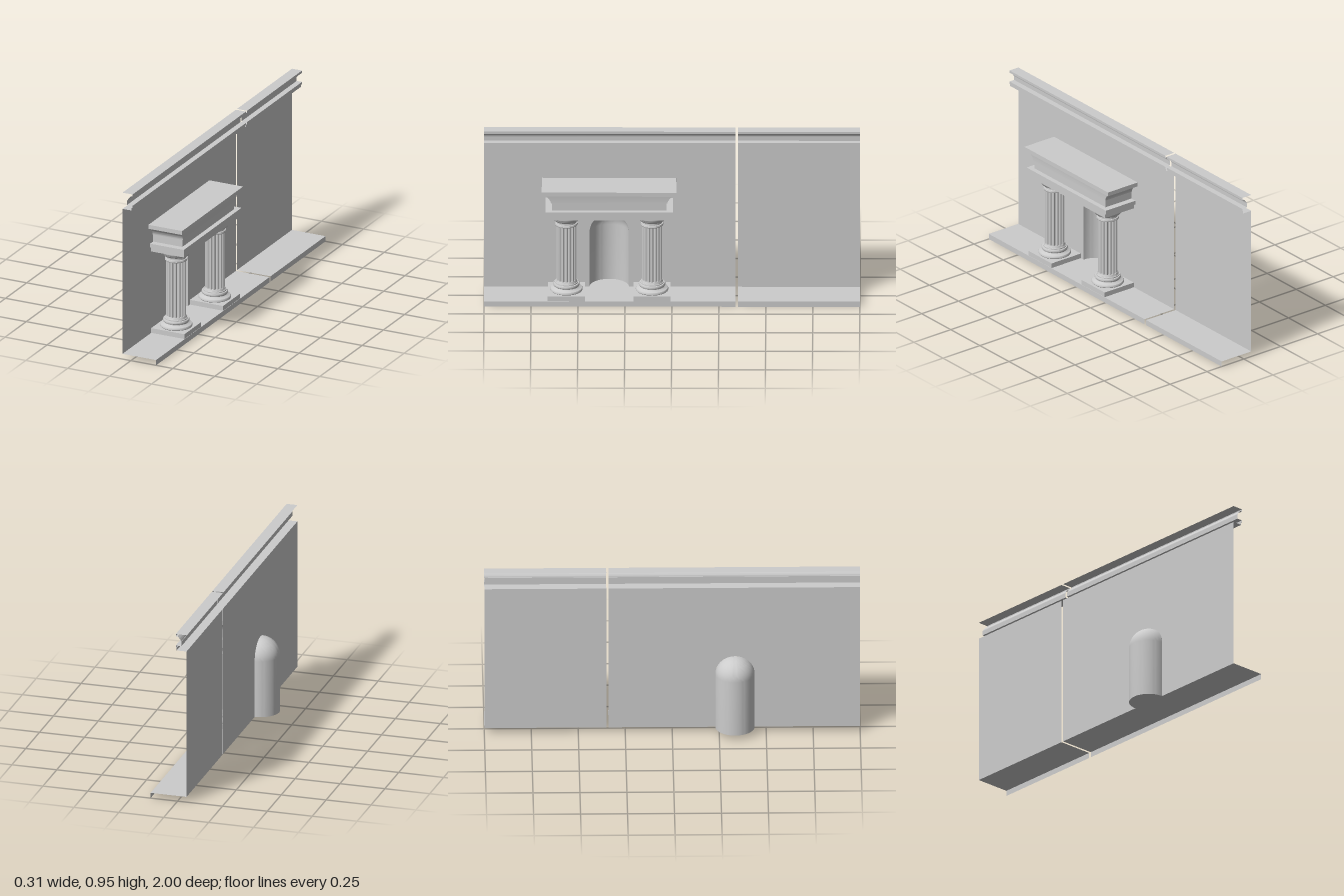
import * as THREE from 'three';
import { toCreasedNormals } from 'three/addons/utils/BufferGeometryUtils.js';

const WALL_X = -0.05, FLOOR_Y = 0.03, NICHE_Z = 0.334, NICHE_R = 0.105, SPRING_Y = 0.346;
const COLUMN_X = 0.049, COLUMN_OFFSET = 0.228;

const solid = new THREE.MeshStandardMaterial({ color: 0xcccccc });
const sheet = new THREE.MeshStandardMaterial({ color: 0xcccccc, side: THREE.DoubleSide });

function mesh(name, geometry, material = solid) {
  const m = new THREE.Mesh(geometry, material);
  m.name = name;
  return m;
}

// Joins rows of [x, y, z] points into a surface with sharp edges
function loft(rows) {
  const pos = [];
  for (let i = 0; i < rows.length - 1; i++) {
    for (let j = 0; j < rows[i].length - 1; j++) {
      const a = rows[i][j], b = rows[i][j + 1], c = rows[i + 1][j + 1], d = rows[i + 1][j];
      pos.push(...a, ...b, ...c, ...a, ...c, ...d);
    }
  }
  const g = new THREE.BufferGeometry();
  g.setAttribute('position', new THREE.Float32BufferAttribute(pos, 3));
  return toCreasedNormals(g, 0.5);
}

// Open sheet: an x, y profile swept along z
const strip = (profile, z0, z1) =>
  loft(profile.map(([x, y]) => [[x, y, z1], [x, y, z0]]));

// Concave quarter curve between two values
const cove = (from, to, t) => from + (to - from) * (1 - Math.cos(t * Math.PI / 2));

function wallPanel(z0, z1, withNiche) {
  const s = new THREE.Shape();
  s.moveTo(z0, FLOOR_Y);
  if (withNiche) {
    s.lineTo(NICHE_Z - NICHE_R, FLOOR_Y);
    s.lineTo(NICHE_Z - NICHE_R, SPRING_Y);
    s.absarc(NICHE_Z, SPRING_Y, NICHE_R, Math.PI, 0, true);
    s.lineTo(NICHE_Z + NICHE_R, FLOOR_Y);
  }
  s.lineTo(z1, FLOOR_Y);
  s.lineTo(z1, 0.86);
  s.lineTo(z0, 0.86);
  s.closePath();
  return new THREE.ShapeGeometry(s, 32).rotateY(-Math.PI / 2).translate(WALL_X, 0, 0);
}

// One length of wall with its floor ledge and cornice
function wallSection(name, z0, z1, withNiche) {
  const g = new THREE.Group();
  g.name = name;
  const cornice = [[WALL_X, 0.86], [0.005, 0.86], [0.005, 0.875], [0.01, 0.875], [0.01, 0.888], [-0.022, 0.888], [-0.022, 0.913]];
  for (let i = 0; i <= 6; i++) cornice.push([cove(-0.019, 0, i / 6), 0.913 + 0.027 * i / 6]);
  cornice.push([0.01, 0.94], [0.01, 0.953], [WALL_X, 0.953]);
  g.add(
    mesh('wallPanel', wallPanel(z0, z1, withNiche), sheet),
    mesh('floorLedge', strip([[0.15, 0], [0.15, FLOOR_Y], [WALL_X, FLOOR_Y]], z0, z1), sheet),
    mesh('cornice', strip(cornice, z0, z1), sheet),
  );
  return g;
}

// Half-round recess with a quarter-sphere head and a flat floor
function niche() {
  const pts = [new THREE.Vector2(0, FLOOR_Y), new THREE.Vector2(NICHE_R, FLOOR_Y)];
  for (let i = 0; i <= 14; i++) {
    const a = i / 14 * Math.PI / 2;
    pts.push(new THREE.Vector2(NICHE_R * Math.cos(a), SPRING_Y + NICHE_R * Math.sin(a)));
  }
  const g = toCreasedNormals(new THREE.LatheGeometry(pts, 32, Math.PI, Math.PI), 0.6);
  return mesh('niche', g.translate(WALL_X, 0, NICHE_Z), sheet);
}

// Mouldings of the beam over the columns: [front x, half length, y]
function entablature() {
  const rows = [[WALL_X, 0, 0.496], [0.146, 0.327, 0.496], [0.146, 0.327, 0.523],
    [0.151, 0.34, 0.523], [0.151, 0.34, 0.545], [0.124, 0.305, 0.545], [0.124, 0.305, 0.588]];
  for (let i = 0; i <= 8; i++) {
    const t = i / 8;
    rows.push([cove(0.13, 0.133, t), cove(0.31, 0.344, t), 0.588 + 0.049 * t]);
  }
  rows.push([0.151, 0.359, 0.637], [0.151, 0.359, 0.66], [WALL_X, 0, 0.66]);
  const g = loft(rows.map(([x, h, y]) => [[WALL_X, y, h], [x, y, h], [x, y, -h], [WALL_X, y, -h]]));
  return mesh('entablature', g.translate(0, 0, NICHE_Z), sheet);
}

// Vertical shaft with grooves separated by flat fillets
function flutedShaft(r, y0, y1, flutes = 16, steps = 8) {
  const pts = [];
  for (let k = 0; k < flutes; k++) {
    for (let i = 0; i <= steps; i++) {
      const t = i / steps;
      const a = (k + 0.14 + 0.72 * t) / flutes * Math.PI * 2;
      const rr = r - 0.008 * Math.sin(Math.PI * t);
      pts.push(new THREE.Vector2(rr * Math.cos(a), rr * Math.sin(a)));
    }
  }
  const g = new THREE.ExtrudeGeometry(new THREE.Shape(pts), { depth: y1 - y0, bevelEnabled: false });
  return toCreasedNormals(g.rotateX(-Math.PI / 2).translate(0, y0, 0), 0.5);
}

function turned(points) {
  const g = new THREE.LatheGeometry(points.map(p => new THREE.Vector2(...p)), 40);
  return toCreasedNormals(g, 0.6);
}

function column(name, z) {
  const g = new THREE.Group();
  g.name = name;
  g.position.set(COLUMN_X, 0, z);
  const plinth = new THREE.BoxGeometry(0.198, 0.027, 0.198).translate(0, FLOOR_Y + 0.0135, 0);
  const base = [[0.084, 0.056], [0.087, 0.06], [0.087, 0.066], [0.084, 0.071], [0.079, 0.073],
    [0.071, 0.076], [0.066, 0.081], [0.066, 0.084], [0.069, 0.086], [0.071, 0.09], [0.071, 0.094],
    [0.068, 0.099], [0.062, 0.1], [0.062, 0.106], [0.058, 0.107], [0.055, 0.112], [0.053, 0.118], [0, 0.118]];
  const capital = [[0, 0.432], [0.053, 0.432], [0.059, 0.434], [0.061, 0.438], [0.059, 0.446],
    [0.053, 0.447], [0.053, 0.455], [0.058, 0.456], [0.058, 0.46], [0.064, 0.462], [0.069, 0.466],
    [0.073, 0.472], [0.075, 0.478], [0.079, 0.48], [0.082, 0.485], [0.082, 0.49], [0.08, 0.492],
    [0.07, 0.492], [0.07, 0.497]];
  g.add(
    mesh('plinth', plinth),
    mesh('base', turned(base)),
    mesh('shaft', flutedShaft(0.053, 0.116, 0.434)),
    mesh('capital', turned(capital)),
  );
  return g;
}

export function createModel() {
  const model = new THREE.Group();
  model.name = 'colonnadeWall';
  model.add(
    wallSection('mainWall', -0.338, 1, true),
    wallSection('sideWall', -1, -0.351, false),
    niche(),
    entablature(),
  );
  for (const s of [-1, 1]) {
    model.add(column(s < 0 ? 'rearColumn' : 'frontColumn', NICHE_Z + s * COLUMN_OFFSET));
  }
  return model;
}
